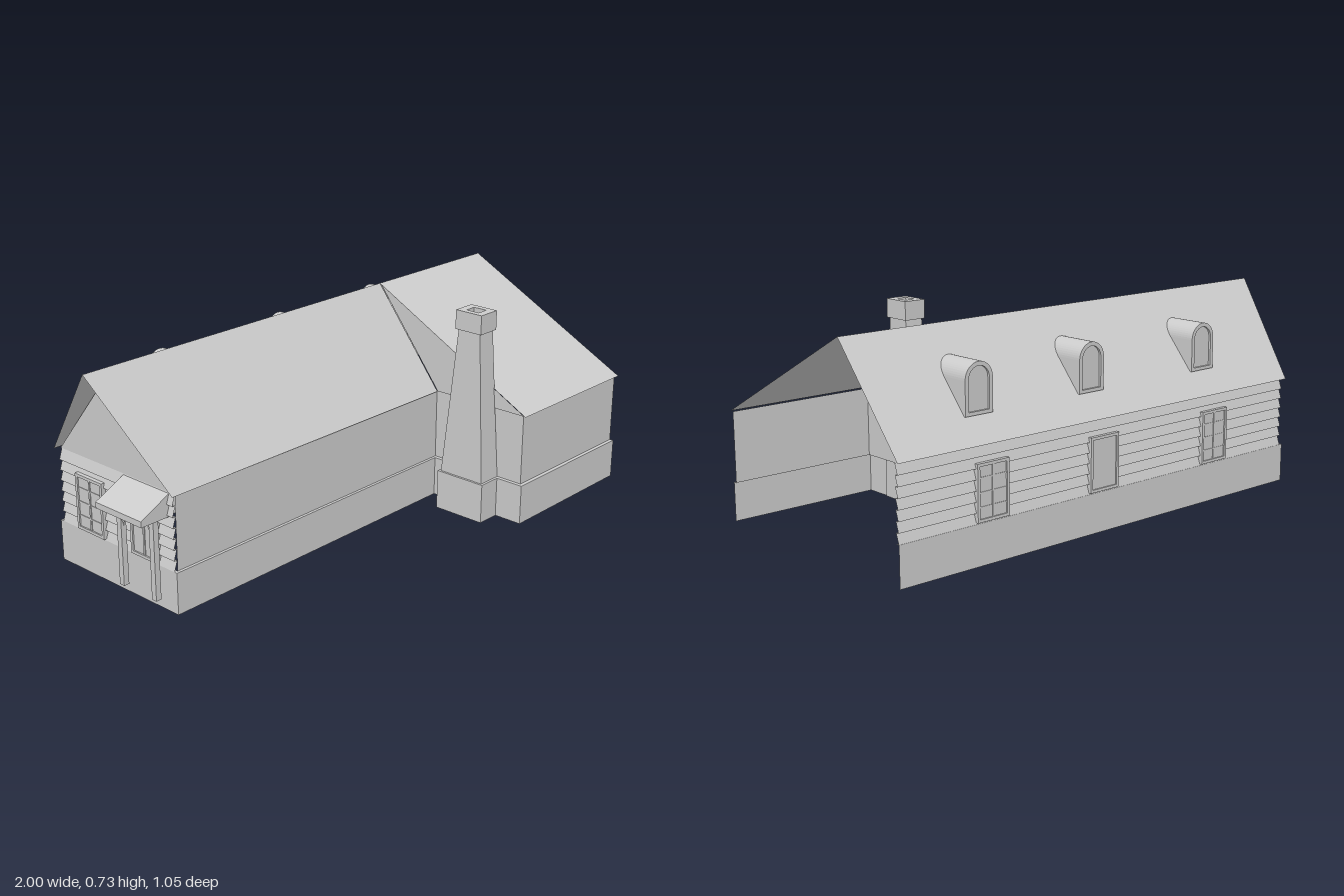
import * as THREE from 'three';

const mat = new THREE.MeshStandardMaterial({ color: 0xcccccc, side: THREE.DoubleSide, flatShading: true });

function add(parent, name, geo, x = 0, y = 0, z = 0) {
  const m = new THREE.Mesh(geo, mat);
  m.name = name;
  m.position.set(x, y, z);
  parent.add(m);
  return m;
}

// Flat sheets: each polygon is a list of [x, y, z] corners, split as a fan
function sheets(...polys) {
  const pos = [];
  for (const p of polys)
    for (let i = 1; i < p.length - 1; i++) pos.push(...p[0], ...p[i], ...p[i + 1]);
  const g = new THREE.BufferGeometry();
  g.setAttribute('position', new THREE.Float32BufferAttribute(pos, 3));
  g.computeVertexNormals();
  return g;
}

const box = (w, h, d) => new THREE.BoxGeometry(w, h, d);

// Upright sheets that follow a plan path of [x, z]
function pathWall(path, y0, y1) {
  return sheets(...path.slice(1).map(([bx, bz], i) => {
    const [ax, az] = path[i];
    return [[ax, y0, az], [bx, y0, bz], [bx, y1, bz], [ax, y1, az]];
  }));
}

// Lapped boards between plan points a and b, each leaning outward by (ox, oz)
function boards(a, b, ox, oz, y0, y1, count) {
  const polys = [], h = (y1 - y0) / count;
  for (let i = 0; i < count; i++) {
    const lo = y0 + i * h, hi = lo + h;
    const A = [a[0] + ox, lo, a[1] + oz], B = [b[0] + ox, lo, b[1] + oz];
    polys.push([A, B, [b[0], hi, b[1]], [a[0], hi, a[1]]]);
    polys.push([A, B, [b[0], lo, b[1]], [a[0], lo, a[1]]]);
  }
  return sheets(...polys);
}

// Arched outline with its foot on y = 0
function archShape(w, h) {
  const s = new THREE.Shape(), r = w / 2;
  s.moveTo(-r, 0);
  s.lineTo(r, 0);
  s.lineTo(r, h - r);
  s.absarc(0, h - r, r, 0, Math.PI, false);
  s.closePath();
  return s;
}

// Framed opening, facing local +z, with columns and rows of panes
function opening(name, w, h, cols, rows) {
  const g = new THREE.Group(), t = 0.01;
  g.name = name;
  add(g, 'panel', box(w, h, 0.014), 0, h / 2, 0);
  for (const s of [-1, 1]) {
    add(g, 'jamb', box(t, h, 0.024), s * (w - t) / 2, h / 2, 0);
    add(g, 'rail', box(w, t, 0.024), 0, h / 2 + s * (h - t) / 2, 0);
  }
  for (let i = 1; i < cols; i++) add(g, 'mullion', box(0.007, h, 0.02), -w / 2 + i * w / cols, h / 2, 0);
  for (let i = 1; i < rows; i++) add(g, 'glazingBar', box(w, 0.005, 0.018), 0, i * h / rows, 0);
  return g;
}

export function createModel() {
  const model = new THREE.Group();
  model.name = 'house';
  const house = new THREE.Group();
  house.name = 'houseBody';
  house.rotation.y = Math.PI / 12;
  model.add(house);

  const baseY = 0.14, eave = 0.39, top = 0.73, ridgeZ = -0.025, end = 0.866;

  // Plinth and its ledge; the +x end of the house is open
  const outer = [[end, -0.313], [-0.93, -0.313], [-0.93, 0.245], [0.295, 0.245], [0.295, 0.62], [end, 0.62]];
  const inner = [[end, -0.3], [-0.918, -0.3], [-0.918, 0.235], [0.309, 0.235], [0.309, 0.606], [end, 0.606]];
  add(house, 'plinth', pathWall(outer, 0, baseY));
  add(house, 'plinthLedge', sheets(...outer.slice(1).map(([x, z], i) => [
    [outer[i][0], baseY, outer[i][1]], [x, baseY, z],
    [inner[i + 1][0], baseY, inner[i + 1][1]], [inner[i][0], baseY, inner[i][1]]])));

  // Plain front walls and the lapped boards on the back and end
  add(house, 'frontWalls', pathWall(inner.slice(2), baseY, eave));
  add(house, 'backBoards', boards(inner[0], inner[1], 0, -0.012, baseY, eave, 7));
  add(house, 'endBoards', boards(inner[1], inner[2], -0.012, 0, baseY, eave, 7));
  add(house, 'endGable', sheets([[-0.918, eave, -0.305], [-0.918, eave, 0.24], [-0.918, top - 0.004, ridgeZ]]));
  add(house, 'wingGable', sheets([[0.3, top, ridgeZ], [0.3, eave, 0.245], [0.3, eave, 0.615]]));

  // Roof: pointed overhang at the -x end, long slope over the wing
  const tip = [-1.03, top, ridgeZ], far = [end, top, ridgeZ], mid = [0.297, top, ridgeZ];
  add(house, 'backRoof', sheets([tip, far, [end, eave, -0.315], [-0.938, eave, -0.315]]));
  add(house, 'frontRoof', sheets([tip, [-0.938, eave, 0.246], [0.297, eave, 0.246], mid]));
  add(house, 'wingRoof', sheets([mid, [0.297, eave, 0.622], [end, eave, 0.622], far]));

  // Three arched dormers, each above a back opening
  [-0.537, 0.013, 0.5].forEach((x, i) => {
    const dormer = new THREE.Group();
    dormer.name = 'dormer';
    dormer.position.set(x, 0.47, -0.245);
    house.add(dormer);
    add(dormer, 'dormerBody', new THREE.ExtrudeGeometry(archShape(0.112, 0.17),
      { depth: 0.15, bevelEnabled: false, curveSegments: 12 }));
    const rim = archShape(0.112, 0.17);
    rim.holes.push(new THREE.Path(archShape(0.084, 0.144).getPoints(10).map(p => p.setY(p.y + 0.012))));
    add(dormer, 'dormerFrame', new THREE.ExtrudeGeometry(rim,
      { depth: 0.008, bevelEnabled: false, curveSegments: 12 }), 0, 0, -0.008);
    const o = i === 1 ? opening('backDoor', 0.13, 0.19, 1, 1) : opening('backWindow', 0.13, 0.19, 2, 4);
    o.position.set(x, 0.145, -0.308);
    o.rotation.y = Math.PI;
    house.add(o);
  });

  // End door and window
  for (const [name, z, w, rows] of [['endDoor', 0.105, 0.12, 1], ['endWindow', -0.15, 0.13, 4]]) {
    const o = opening(name, w, 0.19, 2, rows);
    o.position.set(-0.926, 0.145, z);
    o.rotation.y = -Math.PI / 2;
    house.add(o);
  }

  // Porch: wedge canopy on two posts joined by an arch
  const porch = new THREE.Group();
  porch.name = 'porch';
  house.add(porch);
  const wedge = new THREE.Shape([[-1.03, 0.312], [-0.912, 0.312], [-0.912, 0.39], [-1.03, 0.332]]
    .map(p => new THREE.Vector2(...p)));
  add(porch, 'canopy', new THREE.ExtrudeGeometry(wedge, { depth: 0.208, bevelEnabled: false }), 0, 0, 0.002);
  for (const z of [0.03, 0.18]) add(porch, 'post', box(0.02, 0.272, 0.02), -0.958, 0.176, z);
  const arch = add(porch, 'postArch', new THREE.TorusGeometry(0.075, 0.009, 4, 12, Math.PI), -0.958, 0.232, 0.105);
  arch.rotation.y = Math.PI / 2;

  // Chimney: base block, tapered shaft, hollow cap
  const chimney = new THREE.Group();
  chimney.name = 'chimney';
  house.add(chimney);
  add(chimney, 'chimneyBase', box(0.09, baseY, 0.193), 0.255, baseY / 2, 0.421);
  const shaft = box(1, 1, 1), p = shaft.attributes.position;
  for (let i = 0; i < p.count; i++) {
    const up = p.getY(i) > 0;
    p.setXYZ(i, 0.263 + p.getX(i) * (up ? 0.07 : 0.09), up ? 0.67 : baseY, (up ? 0.428 : 0.421) + p.getZ(i) * (up ? 0.088 : 0.175));
  }
  shaft.computeVertexNormals();
  add(chimney, 'chimneyShaft', shaft);
  const rect = (w, h) => [[-w, -h], [w, -h], [w, h], [-w, h]].map(q => new THREE.Vector2(...q));
  const cap = new THREE.Shape(rect(0.042, 0.053));
  cap.holes.push(new THREE.Path(rect(0.02, 0.025)));
  const capMesh = add(chimney, 'chimneyCap',
    new THREE.ExtrudeGeometry(cap, { depth: 0.067, bevelEnabled: false }), 0.263, 0.665, 0.428);
  capMesh.rotation.x = -Math.PI / 2;

  return model;
}
